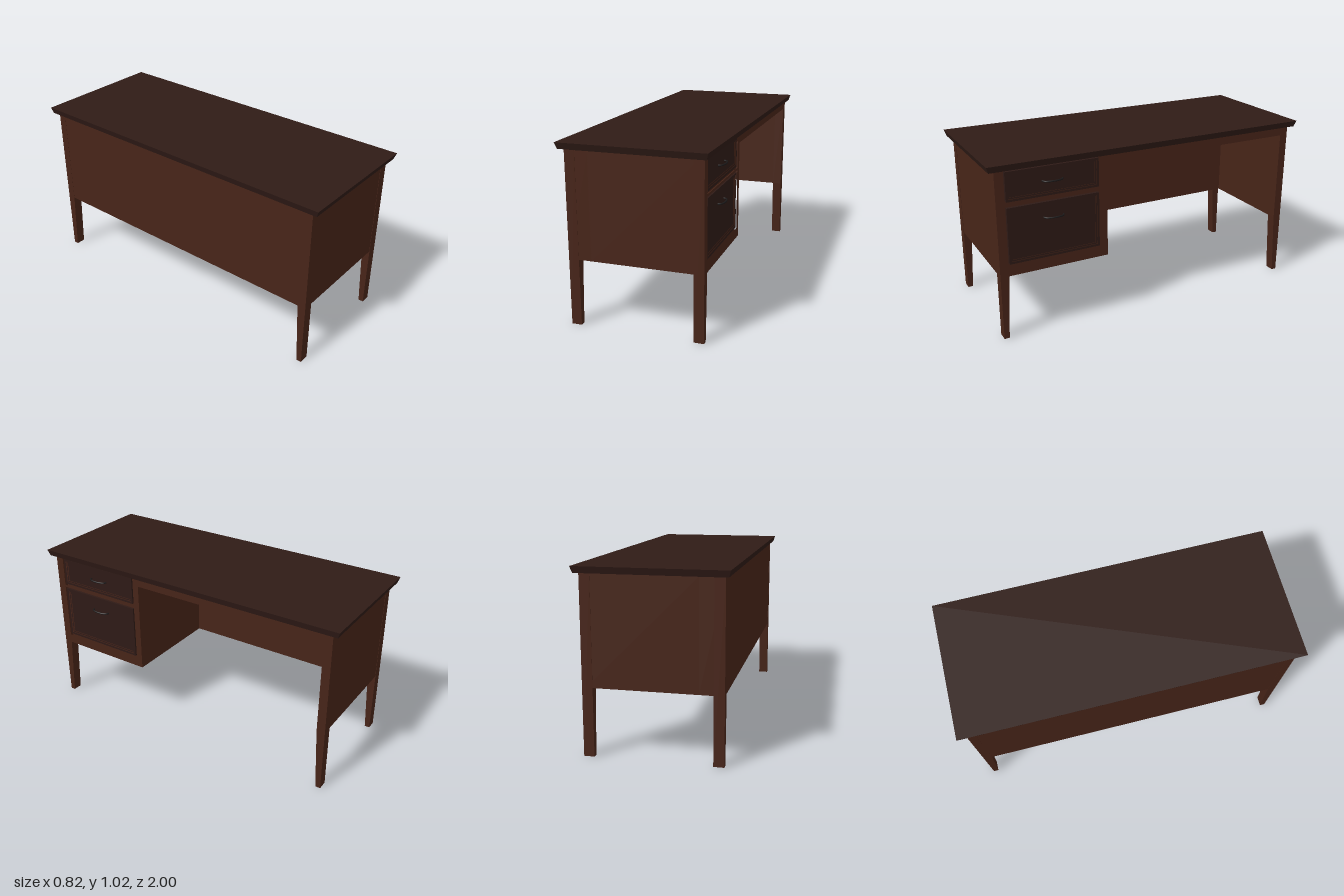
import * as THREE from 'three';

const wood = new THREE.MeshStandardMaterial({ color: 0x472418 });
const topWood = new THREE.MeshStandardMaterial({ color: 0x2f1b16 });
const drawerWood = new THREE.MeshStandardMaterial({ color: 0x2e1a16 });
const metal = new THREE.MeshStandardMaterial({ color: 0x1c1919 });

function add(parent, name, geometry, material) {
  const mesh = new THREE.Mesh(geometry, material);
  mesh.name = name;
  parent.add(mesh);
  return mesh;
}

// Box given by its limits on each axis
function box(x0, x1, y0, y1, z0, z1) {
  return new THREE.BoxGeometry(x1 - x0, y1 - y0, z1 - z0)
    .translate((x0 + x1) / 2, (y0 + y1) / 2, (z0 + z1) / 2);
}

// Outline of [z, y] points, extruded along x from x0 to x1
const outline = (pts) => pts.map(([z, y]) => new THREE.Vector2(-z, y));
function slab(pts, holes, x0, x1) {
  const shape = new THREE.Shape(outline(pts));
  for (const h of holes) shape.holes.push(new THREE.Path(outline(h)));
  return new THREE.ExtrudeGeometry(shape, { depth: x1 - x0, bevelEnabled: false })
    .rotateY(Math.PI / 2).translate(x0, 0, 0);
}

// Rectangle in [z, y], shrunk by d on all sides
const rect = ([z0, z1, y0, y1], d = 0) => [
  [z0 + d, y0 + d], [z1 - d, y0 + d], [z1 - d, y1 - d], [z0 + d, y1 - d],
];

// Drawer front with a stepped moulding and a bowed pull
function makeDrawer(opening, handleY) {
  const drawer = new THREE.Group();
  drawer.name = 'drawer';
  add(drawer, 'outerMoulding', slab(rect(opening, 0.01), [rect(opening, 0.023)], 0.355, 0.378), drawerWood);
  add(drawer, 'innerMoulding', slab(rect(opening, 0.023), [rect(opening, 0.031)], 0.355, 0.372), drawerWood);
  add(drawer, 'drawerPanel', slab(rect(opening, 0.031), [], 0.355, 0.367), drawerWood);
  const z = (opening[0] + opening[1]) / 2;
  const curve = new THREE.CatmullRomCurve3([
    [0.362, 0.06], [0.383, 0.05], [0.392, 0.025], [0.394, 0], [0.392, -0.025], [0.383, -0.05], [0.362, -0.06],
  ].map(([x, dz]) => new THREE.Vector3(x, handleY, z + dz)));
  add(drawer, 'handle', new THREE.TubeGeometry(curve, 24, 0.005, 8), metal);
  return drawer;
}

export function createModel() {
  const desk = new THREE.Group();
  desk.name = 'desk';

  // Table top, its edge sloping in towards the underside
  const top = box(-0.41, 0.41, 0.988, 1.024, -1, 1);
  const p = top.attributes.position;
  for (let i = 0; i < p.count; i++) {
    if (p.getY(i) < 1) p.setXYZ(i, p.getX(i) * 0.975, p.getY(i), p.getZ(i) * 0.988);
  }
  top.computeVertexNormals();
  add(desk, 'tableTop', top, topWood);

  // Corner posts, tapering on the inside below the case
  for (const sx of [-1, 1]) {
    for (const sz of [-1, 1]) {
      const pts = [[0.955, 0], [0.955, 0.99], [0.905, 0.99], [0.905, 0.38], [0.925, 0]];
      const x = sx > 0 ? 0.322 : -0.38;
      add(desk, 'leg', slab(pts.map(([z, y]) => [z * sz, y]), [], x, x + 0.058), wood);
    }
  }

  // Case around the kneehole
  add(desk, 'drawerCase', box(-0.25, 0.36, 0.38, 0.99, 0.305, 0.953), wood);
  add(desk, 'backPanel', box(-0.379, -0.245, 0.38, 0.99, -0.953, 0.953), wood);
  add(desk, 'endPanel', box(-0.25, 0.36, 0.38, 0.99, -0.953, -0.905), wood);
  add(desk, 'kneeholeCeiling', box(-0.25, 0.36, 0.935, 0.99, -0.91, 0.31), wood);

  // Front frame: drawer surround and the rail over the kneehole
  const openings = [[0.345, 0.907, 0.797, 0.985], [0.345, 0.907, 0.437, 0.783]];
  const frame = [[0.912, 0.38], [0.912, 0.99], [-0.905, 0.99], [-0.905, 0.935], [0.305, 0.935], [0.305, 0.38]];
  add(desk, 'frontFrame', slab(frame, openings.map((o) => rect(o)), 0.355, 0.3798), wood);

  desk.add(makeDrawer(openings[0], 0.89), makeDrawer(openings[1], 0.68));
  return desk;
}
